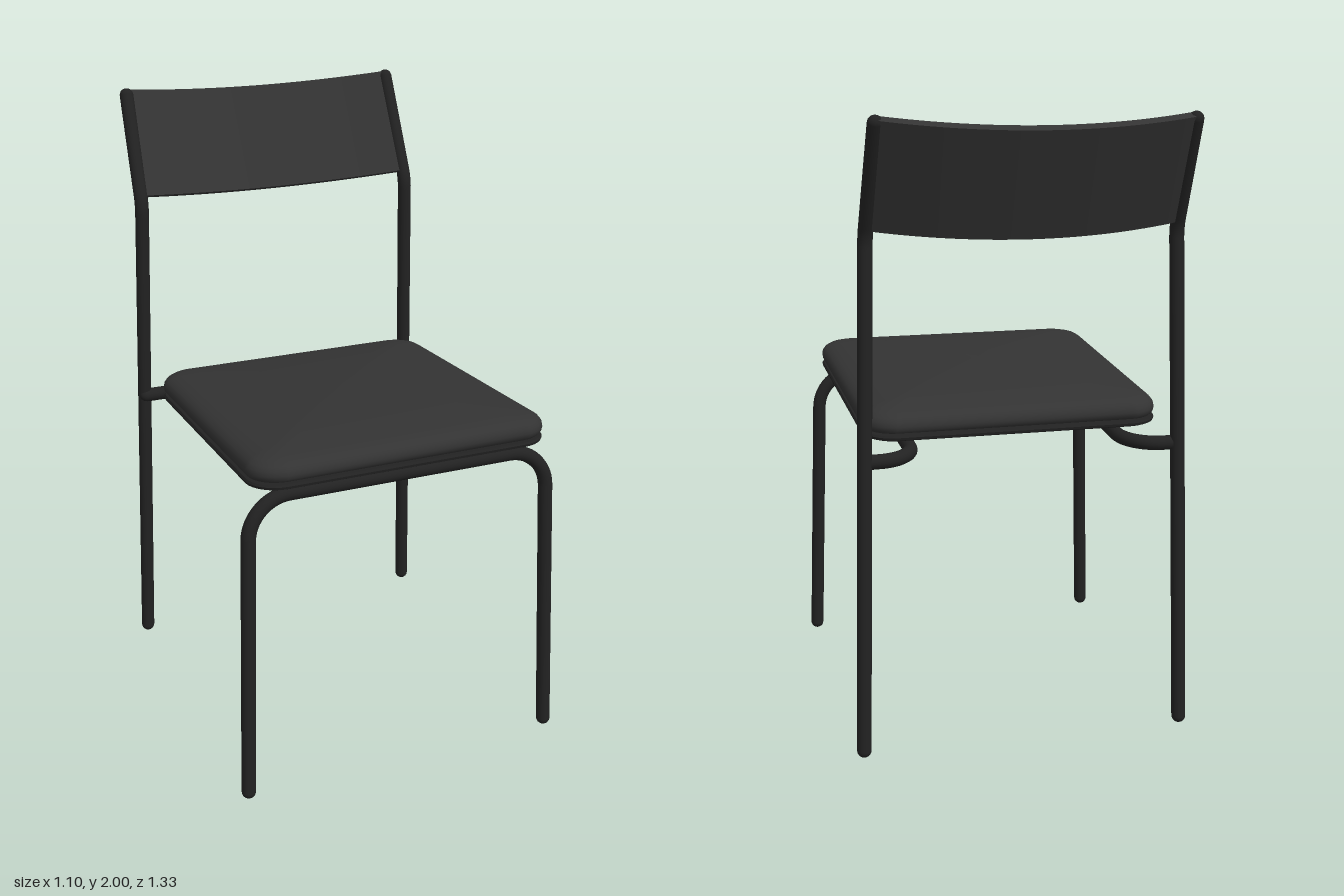
import * as THREE from 'three';
import { toCreasedNormals } from 'three/addons/utils/BufferGeometryUtils.js';

const TUBE = 0.023;
const frameMat = new THREE.MeshStandardMaterial({ color: 0x222222 });
const padMat = new THREE.MeshStandardMaterial({ color: 0x333333 });
const V = (x, y, z) => new THREE.Vector3(x, y, z);

function addMesh(parent, name, geometry, material) {
  const mesh = new THREE.Mesh(geometry, material);
  mesh.name = name;
  parent.add(mesh);
  return mesh;
}

// Bent steel tube: straight runs, a rounded bend at each inner point, domed ends
function addTube(parent, name, points, bend, segments = 120) {
  const path = new THREE.CurvePath();
  let from = points[0];
  for (let i = 1; i < points.length - 1; i++) {
    const p = points[i];
    const a = p.clone().add(points[i - 1].clone().sub(p).setLength(bend));
    const b = p.clone().add(points[i + 1].clone().sub(p).setLength(bend));
    // cubic handles approximate a circular bend
    const c1 = a.clone().lerp(p, 0.55), c2 = b.clone().lerp(p, 0.55);
    path.add(new THREE.LineCurve3(from, a));
    path.add(new THREE.CubicBezierCurve3(a, c1, c2, b));
    from = b;
  }
  const last = points[points.length - 1];
  path.add(new THREE.LineCurve3(from, last));
  const group = new THREE.Group();
  group.name = name;
  addMesh(group, name + 'Tube', new THREE.TubeGeometry(path, segments, TUBE, 16), frameMat);
  for (const end of [points[0], last]) {
    addMesh(group, name + 'Cap', new THREE.SphereGeometry(TUBE, 16, 10), frameMat).position.copy(end);
  }
  parent.add(group);
}

// Seat outline and its gentle backward slope
const SEAT = { halfW: 0.487, halfD: 0.507, midZ: 0.155, radius: 0.1 };
const seatY = (z) => 1.028 + 0.054 * (z - SEAT.midZ);

function seatRing(inset, height) {
  const w = Math.max(SEAT.halfW - inset, 0.0005);
  const d = Math.max(SEAT.halfD - inset, 0.0005);
  const r = Math.min(Math.max(SEAT.radius - inset * 0.7, 0.03), w, d);
  const ring = [];
  const corners = [[1, 1], [-1, 1], [-1, -1], [1, -1]];
  corners.forEach(([sx, sz], k) => {
    for (let i = 0; i <= 8; i++) {
      const a = (k + i / 8) * Math.PI / 2;
      const z = SEAT.midZ + sz * (d - r) + r * Math.sin(a);
      const x = (sx * (w - r) + r * Math.cos(a)) * (1 + 0.02 * (z - SEAT.midZ));
      ring.push(x, seatY(z) + height, z);
    }
  });
  return ring;
}

// Closed body from seat outlines, listed from the underside round to the top
function seatBody(profile) {
  const pos = profile.flatMap(([inset, height]) => seatRing(inset, height));
  const n = pos.length / 3 / profile.length;
  const index = [];
  for (let i = 0; i < profile.length - 1; i++) {
    for (let j = 0; j < n; j++) {
      const a = i * n + j, b = i * n + (j + 1) % n;
      index.push(a, a + n, b, b, a + n, b + n);
    }
  }
  const g = new THREE.BufferGeometry();
  g.setAttribute('position', new THREE.Float32BufferAttribute(pos, 3));
  g.setIndex(index);
  g.computeVertexNormals();
  return g;
}

export function createModel() {
  const model = new THREE.Group();
  model.name = 'chair';

  // Front legs and crossbar in one bent tube
  addTube(model, 'frontLegs', [
    V(-0.528, TUBE, 0.643), V(-0.497, 1.01, 0.607), V(0.497, 1.01, 0.607), V(0.528, TUBE, 0.643),
  ], 0.13, 200);

  const kneeY = 1.64, kneeZ = -0.425;
  for (const s of [-1, 1]) {
    // Rear leg, cranked back at the backrest
    addTube(model, 'rearLeg', [
      V(s * 0.526, TUBE, -0.466), V(s * 0.485, kneeY, kneeZ), V(s * 0.476, 1.977, -0.583),
    ], 0.03, 160);
    // Rail under the seat, curving out to the rear leg
    addTube(model, 'seatRail', [
      V(s * 0.345, 1.01, 0.607), V(s * 0.34, 0.957, -0.43), V(s * 0.5, 0.955, -0.434),
    ], 0.11);
  }

  // Seat shell with a recessed underside
  const shell = seatBody([
    [1, -0.002], [0.06, -0.002], [0.05, -0.012], [0.015, -0.012], [0.002, -0.006],
    [0, 0.002], [0.004, 0.008], [1, 0.008],
  ]);
  addMesh(model, 'seatShell', toCreasedNormals(shell, 0.7), frameMat);

  // Domed seat cushion
  addMesh(model, 'seatCushion', seatBody([
    [1, 0.01], [0.03, 0.01], [0.01, 0.014], [0.002, 0.024], [0, 0.036], [0.003, 0.05],
    [0.012, 0.062], [0.028, 0.072], [0.055, 0.08], [0.12, 0.091], [0.22, 0.101],
    [0.34, 0.109], [0.42, 0.111], [1, 0.112],
  ]), padMat);

  // Curved backrest, swept along the leaning top of the rear legs
  const halfW = 0.478, thick = 0.03, sag = 0.07, steps = 32;
  const shape = new THREE.Shape();
  const bow = (x) => sag * (1 - (x / halfW) ** 2);
  for (let i = 0; i <= steps; i++) {
    const x = halfW * (2 * i / steps - 1);
    if (i === 0) shape.moveTo(x, bow(x) - thick / 2);
    else shape.lineTo(x, bow(x) - thick / 2);
  }
  for (let i = steps; i >= 0; i--) {
    const x = halfW * (2 * i / steps - 1);
    shape.lineTo(x, bow(x) + thick / 2);
  }
  shape.closePath();
  const up = V(0, 0.905, -0.425).normalize();
  const back = V(0, up.z, -up.y);
  const panel = new THREE.ExtrudeGeometry(shape, { depth: 0.36, bevelEnabled: false });
  panel.applyMatrix4(new THREE.Matrix4().makeBasis(V(1, 0, 0), back, up));
  panel.translate(0, 1.665, -0.436);
  addMesh(model, 'backrest', toCreasedNormals(panel, 0.6), padMat);

  return model;
}
